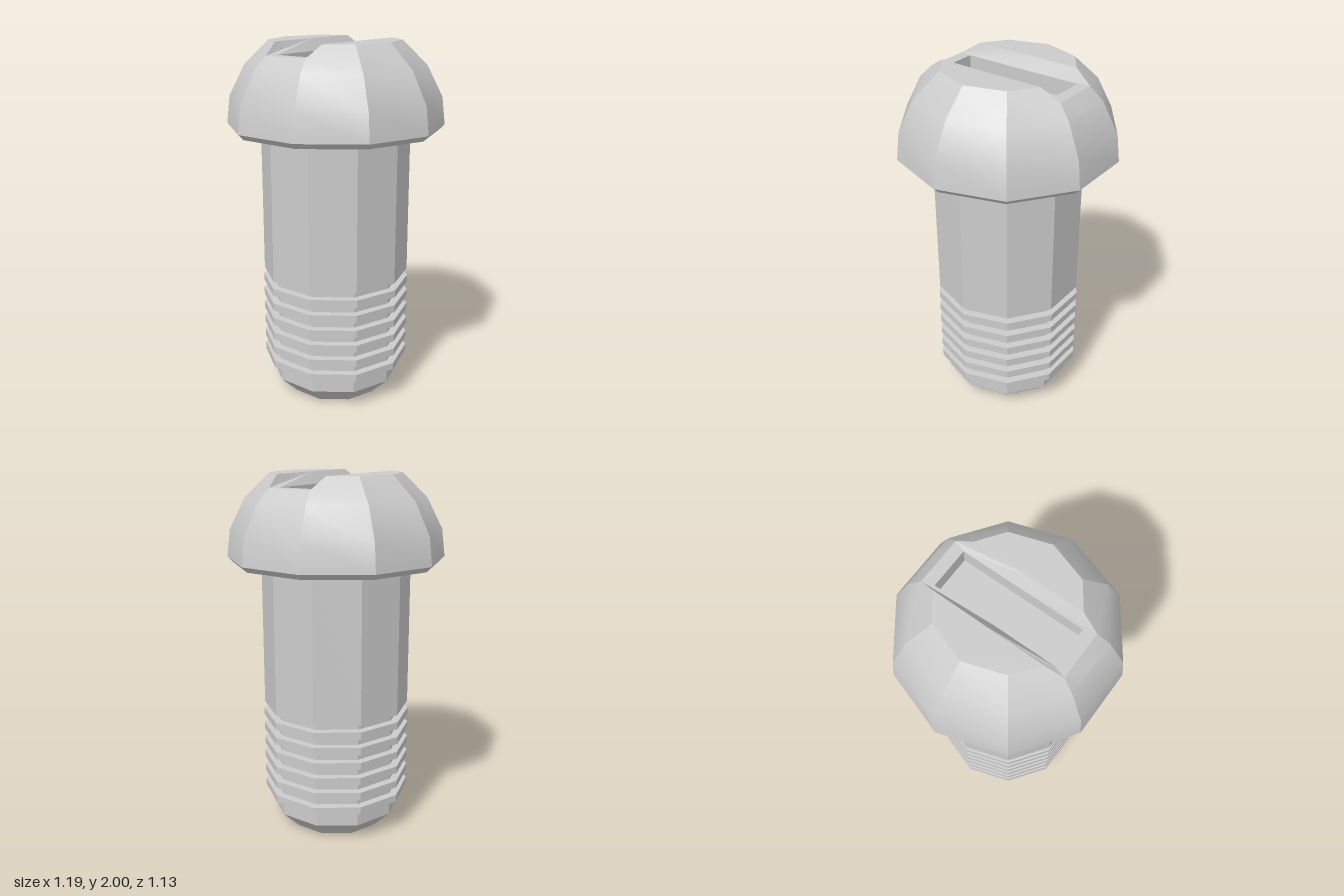
import * as THREE from 'three';
import { mergeGeometries, toCreasedNormals } from 'three/addons/utils/BufferGeometryUtils.js';

const SIDES = 10;

// Ten-sided turned solid from [radius, y] pairs listed bottom to top
function turned(profile) {
  const pts = profile.map(([r, y]) => new THREE.Vector2(r, y));
  const geo = new THREE.LatheGeometry(pts, SIDES, Math.PI / 2).toNonIndexed();
  geo.deleteAttribute('uv');
  geo.deleteAttribute('normal');
  return geo;
}

// Crown of the head with the driver slot: one quarter mirrored four ways
function crown(domeR, domeY, topR) {
  const topY = 2, ledgeY = 1.937, floorY = 1.85;
  const ring = (r, y, i) => [r * Math.cos(i * Math.PI / 5), y, r * Math.sin(i * Math.PI / 5)];
  const [a, b] = [0, 1].map(i => ring(topR, topY, i));
  const [g, f, e] = [0, 1, 2].map(i => ring(domeR, domeY, i));
  const e0 = [0, e[1], e[2]];
  const w0 = [0.157, topY, 0], c = [0.155, topY, 0.305];
  const d = [0.13, ledgeY, 0.402], d0 = [0, ledgeY, 0.402];
  const l0 = [0.11, ledgeY, 0], l = [0.11, ledgeY, 0.338], lz = [0, ledgeY, 0.338];
  const k0 = [0.11, floorY, 0], k = [0.11, floorY, 0.338];
  const kz = [0, floorY, 0.338], kc = [0, floorY, 0];
  const faces = [
    [g, a, b, f], [f, b, c, d, e], [e, d, d0, e0], // dome facets
    [w0, c, b, a],                                 // flat top
    [l0, l, d, c, w0],                             // sloping slot side
    [lz, d0, d, l],                                // end ledge
    [k0, k, l, l0], [k, kz, lz, l], [kc, kz, k, k0], // pocket walls and floor
  ];
  const pos = [];
  for (const sx of [1, -1]) for (const sz of [1, -1]) {
    for (const face of faces) {
      const p = face.map(([x, y, z]) => [x * sx, y, z * sz]);
      if (sx * sz < 0) p.reverse();
      for (let i = 1; i < p.length - 1; i++) pos.push(...p[0], ...p[i], ...p[i + 1]);
    }
  }
  const geo = new THREE.BufferGeometry();
  geo.setAttribute('position', new THREE.Float32BufferAttribute(pos, 3));
  return geo;
}

export function createModel() {
  const group = new THREE.Group();
  const material = new THREE.MeshStandardMaterial({ color: 0xcccccc });
  const add = (name, geo, crease = 0.4) => {
    const mesh = new THREE.Mesh(toCreasedNormals(geo, crease), material);
    mesh.name = name;
    group.add(mesh);
  };

  // Domed head
  const dome = turned([[0, 1.52], [0.565, 1.52], [0.595, 1.55], [0.577, 1.7], [0.49, 1.87]]);
  add('head', mergeGeometries([dome, crown(0.49, 1.87, 0.355)]));

  // Plain shank
  add('shank', turned([[0, 0.71], [0.41, 0.71], [0.41, 1.52], [0, 1.52]]));

  // Threaded core with tapered tip
  add('threadCore', turned([[0, 0], [0.27, 0], [0.37, 0.1], [0.37, 0.71]]), 0.45);

  // Thread ridges
  for (let i = 0; i < 6; i++) {
    const y = 0.19 + i * 0.088;
    add('threadRidge' + (i + 1), turned([[0.36, y], [0.415, y], [0.415, y + 0.041], [0.36, y + 0.041]]));
  }
  return group;
}
